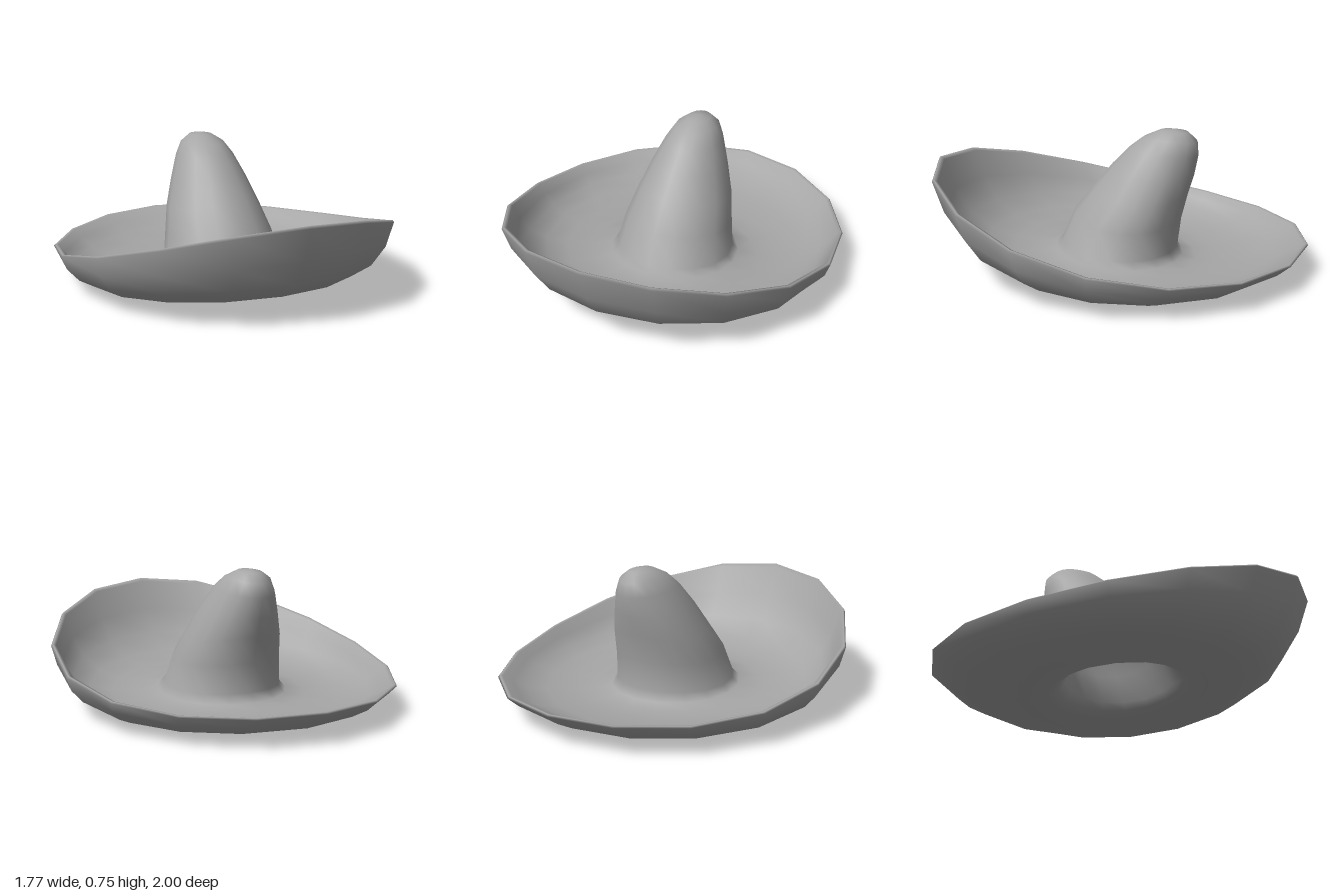
import * as THREE from 'three';

const SIDES = 16;

// Each ring: [half width, front z, back z, front y, side y, back y]
const crownOuter = [
  [0, -0.28, -0.28, 0.75, 0.75, 0.75],
  [0.06, -0.21, -0.36, 0.742, 0.737, 0.735],
  [0.11, -0.12, -0.41, 0.70, 0.705, 0.685],
  [0.15, -0.05, -0.415, 0.645, 0.64, 0.615],
  [0.20, 0.04, -0.395, 0.55, 0.52, 0.51],
  [0.25, 0.13, -0.365, 0.44, 0.38, 0.41],
  [0.285, 0.24, -0.33, 0.30, 0.25, 0.27],
  [0.312, 0.31, -0.31, 0.14, 0.11, 0.11],
];
const brimTop = [
  [0.345, 0.345, -0.34, 0.108, 0.075, 0.062],
  [0.46, 0.44, -0.41, 0.10, 0.06, 0.042],
  [0.59, 0.57, -0.51, 0.107, 0.06, 0.037],
  [0.70, 0.71, -0.69, 0.147, 0.08, 0.046],
  [0.78, 0.83, -0.82, 0.235, 0.12, 0.08],
  [0.83, 0.915, -0.91, 0.365, 0.175, 0.125],
  [0.86, 0.97, -0.975, 0.525, 0.23, 0.162],
];
const brimUnder = [
  [0.877, 0.992, -0.992, 0.54, 0.234, 0.166],
  [0.885, 1.0, -1.0, 0.527, 0.226, 0.157],
  [0.86, 0.94, -0.93, 0.35, 0.155, 0.10],
  [0.80, 0.85, -0.83, 0.21, 0.09, 0.048],
  [0.72, 0.72, -0.70, 0.115, 0.046, 0.012],
  [0.60, 0.57, -0.52, 0.074, 0.024, 0],
  [0.47, 0.45, -0.42, 0.066, 0.022, 0.003],
  [0.385, 0.38, -0.365, 0.071, 0.032, 0.015],
  [0.335, 0.33, -0.325, 0.095, 0.06, 0.045],
];

// Lining of the crown: the outer rings shrunk inward, from the bottom up
const crownInner = crownOuter.slice().reverse().map(([w, f, b, yf, ys, yb]) => {
  const t = Math.min(0.02, w * 0.4);
  return [w - t, f - t, b + t, yf - 0.02, ys - 0.02, yb - 0.02];
});

// Skins a list of rings, each a tilted and bowed ellipse
function skin(rings) {
  const positions = [], index = [];
  for (const [w, f, b, yf, ys, yb] of rings) {
    for (let i = 0; i < SIDES; i++) {
      const a = (i / SIDES) * Math.PI * 2, c = Math.cos(a);
      positions.push(
        w * Math.sin(a),
        ys + ((yf - yb) / 2) * c + ((yf + yb) / 2 - ys) * c * c,
        (f + b) / 2 + ((f - b) / 2) * c
      );
    }
  }
  for (let r = 0; r < rings.length - 1; r++) {
    for (let i = 0; i < SIDES; i++) {
      const j = (i + 1) % SIDES;
      const p = r * SIDES + i, q = r * SIDES + j;
      if (rings[r][0] > 0) index.push(p, q + SIDES, q);
      if (rings[r + 1][0] > 0) index.push(p, p + SIDES, q + SIDES);
    }
  }
  const geometry = new THREE.BufferGeometry();
  geometry.setAttribute('position', new THREE.Float32BufferAttribute(positions, 3));
  geometry.setIndex(index);
  geometry.computeVertexNormals();
  // The tip points coincide, so they share one vertical normal
  const n = geometry.attributes.normal;
  rings.forEach(([w], r) => {
    if (w > 0) return;
    const up = r === 0 ? 1 : -1;
    for (let i = 0; i < SIDES; i++) n.setXYZ(r * SIDES + i, 0, up, 0);
  });
  return geometry;
}

export function createModel() {
  const group = new THREE.Group();
  group.name = 'sombrero';
  const felt = new THREE.MeshStandardMaterial({ color: 0xa6a6a6 });

  // One continuous shell: crown, upper brim, rolled rim, underside, hollow lining
  const shell = new THREE.Mesh(
    skin([...crownOuter, ...brimTop, ...brimUnder, ...crownInner]),
    felt
  );
  shell.name = 'crownAndBrim';
  group.add(shell);
  return group;
}
